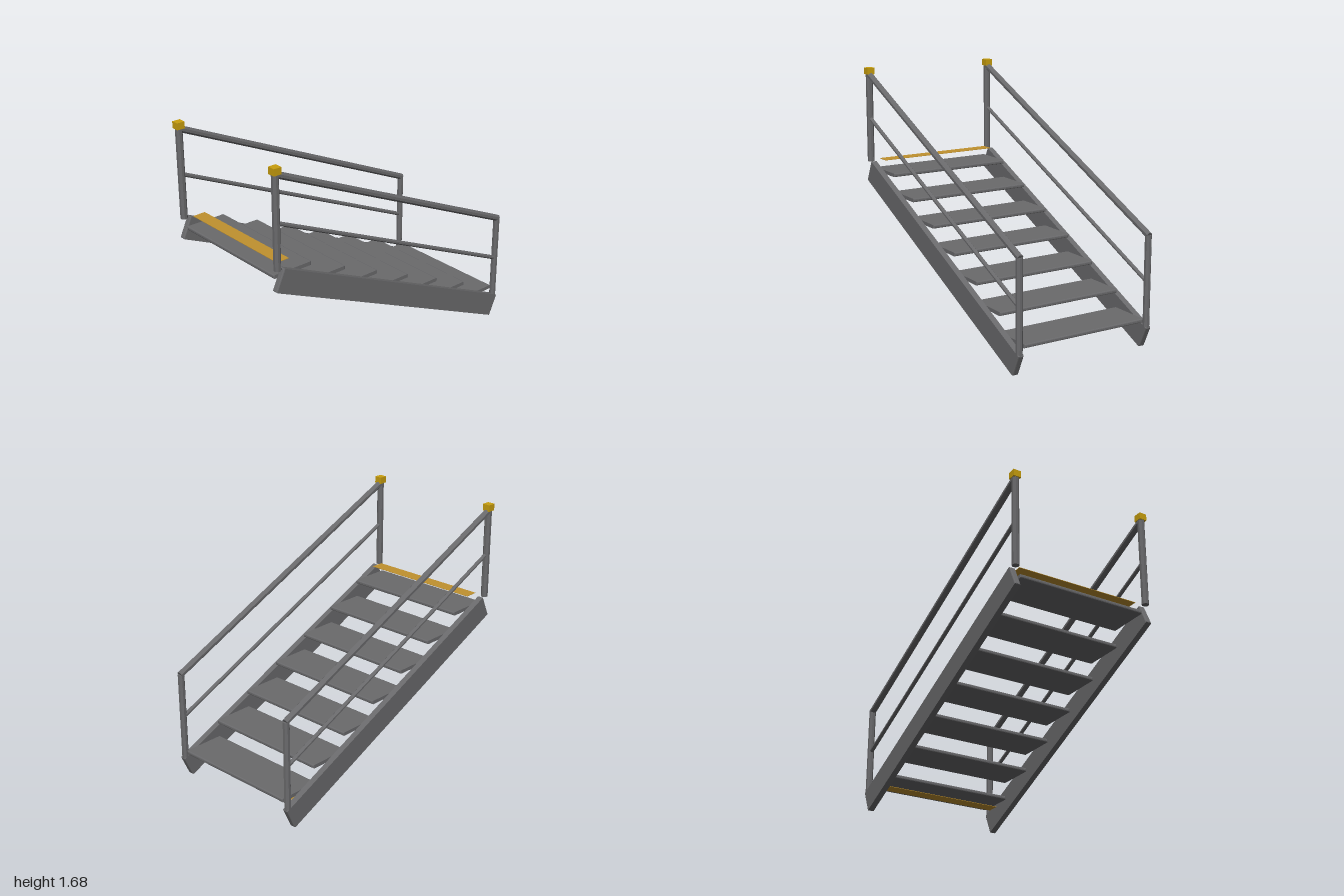
import * as THREE from 'three';

const steel = new THREE.MeshStandardMaterial({ name: 'steel grey', color: 0x6a6a6c, flatShading: true });
const gold = new THREE.MeshStandardMaterial({ name: 'cap yellow', color: 0xc99f0e });
const amber = new THREE.MeshStandardMaterial({ name: 'strip amber', color: 0xc0922f, side: THREE.DoubleSide });

// Box with chamfered edges, centred on the origin
function chamferBox(w, h, d, c) {
  const x = w / 2 - c, y = h / 2 - c;
  const shape = new THREE.Shape([
    new THREE.Vector2(-x, -y), new THREE.Vector2(x, -y),
    new THREE.Vector2(x, y), new THREE.Vector2(-x, y),
  ]);
  const g = new THREE.ExtrudeGeometry(shape, {
    depth: d - 2 * c, bevelEnabled: true, bevelSize: c, bevelThickness: c, bevelSegments: 2,
  });
  return g.translate(0, 0, -d / 2 + c);
}

function add(parent, name, geometry, material, x, y, z) {
  const mesh = new THREE.Mesh(geometry, material);
  mesh.name = name;
  mesh.position.set(x, y, z);
  parent.add(mesh);
  return mesh;
}

// Eight-sided tube between two (y, z) points; flat is the width across flats
function tube(parent, name, x, [y0, z0], [y1, z1], flat) {
  const length = Math.hypot(y1 - y0, z1 - z0);
  const radius = flat / 2 / Math.cos(Math.PI / 8);
  const g = new THREE.CylinderGeometry(radius, radius, length, 8).rotateY(Math.PI / 8);
  const mesh = add(parent, name, g, steel, x, (y0 + y1) / 2, (z0 + z1) / 2);
  mesh.rotation.x = Math.atan2(z1 - z0, y1 - y0);
}

export function createModel() {
  const model = new THREE.Group();
  model.name = 'staircase';

  // Sloping side beam, handrail, posts and caps on each side
  for (const s of [1, -1]) {
    const side = new THREE.Group();
    side.name = s > 0 ? 'leftSide' : 'rightSide';
    model.add(side);
    const x = s * 0.488;

    const stringer = add(side, 'stringer', chamferBox(0.042, 0.157, 2.117, 0.007), steel, x, 0.518, 0.002);
    stringer.rotation.x = -Math.atan2(0.872, 1.9275);

    tube(side, 'upperPost', x, [1.02, 0.973], [1.65, 0.973], 0.045);
    tube(side, 'lowerPost', x, [0.15, -0.97], [0.765, -0.97], 0.042);
    tube(side, 'handrail', x, [1.643, 0.973], [0.763, -0.978], 0.042);
    tube(side, 'middleRail', x, [1.332, 0.973], [0.455, -0.97], 0.026);
    add(side, 'postCap', new THREE.BoxGeometry(0.054, 0.046, 0.056), gold, x, 1.667, 0.972);
  }

  // Seven treads
  for (let i = 0; i < 7; i++) {
    add(model, 'tread', chamferBox(0.91, 0.025, 0.294, 0.007), steel, 0, 0.204 + i * 0.126, -0.834 + i * 0.277);
  }

  // Thin warning strips at the top and bottom
  for (const [name, y, z] of [['topStrip', 1.04, 0.89], ['bottomStrip', 0.162, -0.835]]) {
    add(model, name, new THREE.BoxGeometry(0.875, 0.003, 0.092), amber, 0, y, z);
  }
  return model;
}
